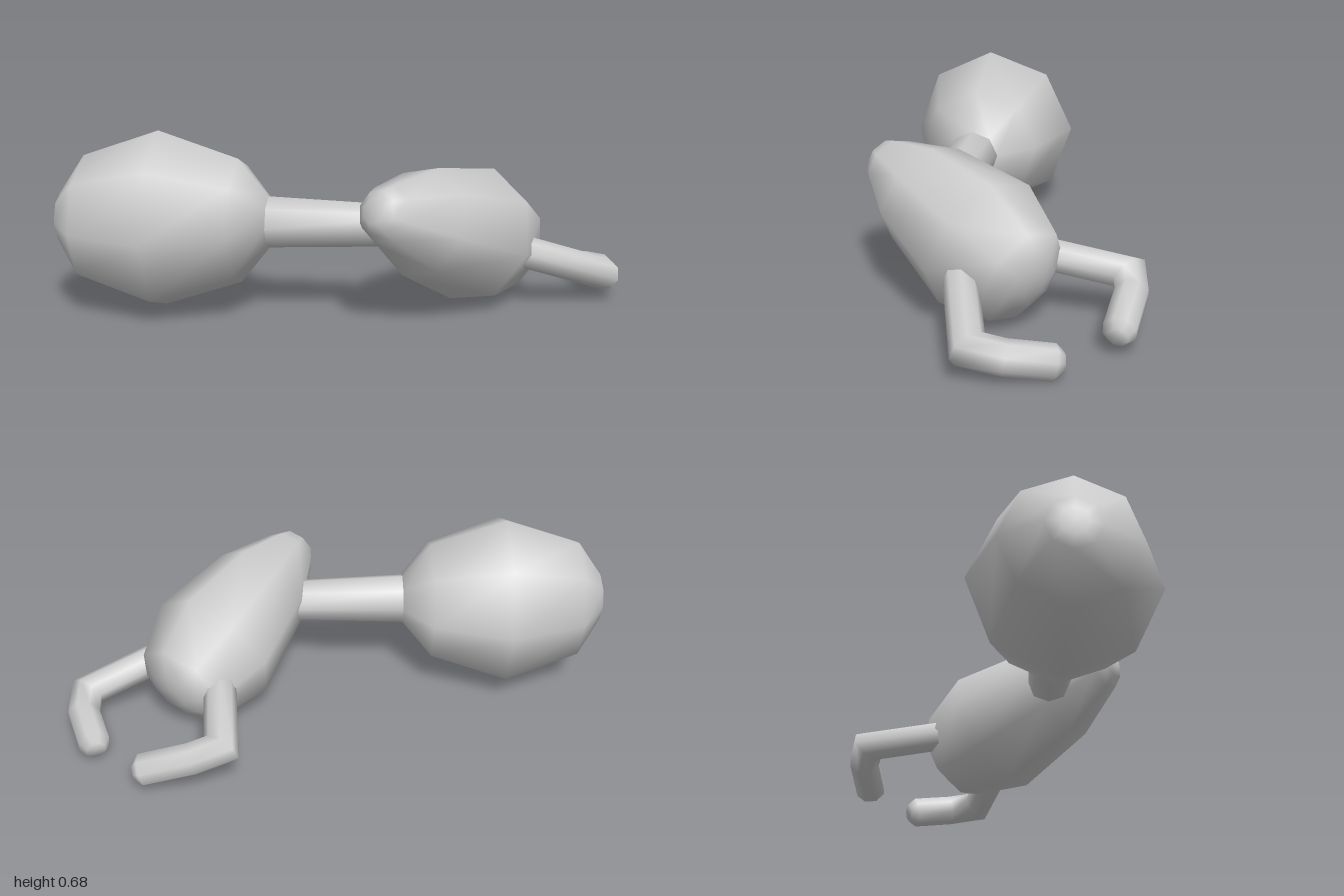
import * as THREE from 'three';

const material = new THREE.MeshStandardMaterial({ color: 0xcccccc });
const V = (x, y, z) => new THREE.Vector3(x, y, z);

// Closed eight-sided skin along a path, one radius per point, mitred at bends
function loft(name, path, radii, roll = 0, sides = 8) {
  const dirs = path.slice(1).map((p, i) => p.clone().sub(path[i]).normalize());
  const last = path.length - 1;
  const up = V(0, 1, 0).projectOnPlane(dirs[0]).normalize();
  let spokes = [];
  for (let j = 0; j < sides; j++) {
    const angle = THREE.MathUtils.degToRad(roll) + (j / sides) * Math.PI * 2;
    spokes.push(up.clone().applyAxisAngle(dirs[0], angle));
  }
  const pos = [];
  const index = [];
  path.forEach((p, i) => {
    const into = dirs[Math.max(i - 1, 0)];
    const out = dirs[Math.min(i, last - 1)];
    const mitre = into.clone().add(out).normalize();
    spokes = spokes.map((s) => {
      const m = s.clone().addScaledVector(into, -s.dot(mitre) / into.dot(mitre));
      pos.push(...m.clone().multiplyScalar(radii[i]).add(p).toArray());
      return m.projectOnPlane(out);
    });
  });
  for (let i = 0; i < last; i++) {
    for (let j = 0; j < sides; j++) {
      const k = (j + 1) % sides;
      const a = i * sides + j, b = i * sides + k;
      index.push(a, b, a + sides, b, b + sides, a + sides);
    }
  }
  // End caps
  const start = pos.length / 3;
  pos.push(...path[0].toArray(), ...path[last].toArray());
  for (let j = 0; j < sides; j++) {
    const k = (j + 1) % sides;
    index.push(start, k, j, start + 1, last * sides + j, last * sides + k);
  }
  const geo = new THREE.BufferGeometry();
  geo.setAttribute('position', new THREE.Float32BufferAttribute(pos, 3));
  geo.setIndex(index);
  geo.computeVertexNormals();
  const mesh = new THREE.Mesh(geo, material);
  mesh.name = name;
  return mesh;
}

// Straight loft from [distance, radius] pairs along an axis
function spindle(name, origin, axis, profile, roll) {
  const d = axis.clone().normalize();
  const path = profile.map(([s]) => origin.clone().addScaledVector(d, s));
  return loft(name, path, profile.map(([, r]) => r), roll);
}

// Bent pincer with a softly rounded tip
function pincer(name, points) {
  const path = points.map((p) => V(...p));
  const tip = path[path.length - 1];
  const dir = tip.clone().sub(path[path.length - 2]).normalize();
  path.push(tip.clone().addScaledVector(dir, 0.03));
  return loft(name, path, [...points.map(() => 0.062), 0.038]);
}

export function createModel() {
  const group = new THREE.Group();

  // Large rear bulb and the stalk joining it to the body
  const bulbCentre = V(-0.6, 0.355, 0.41);
  const stalkAxis = V(-0.96, 0, 0.28);
  group.add(spindle('bulb', bulbCentre, stalkAxis, [
    [-0.405, 0.1], [-0.295, 0.24], [0, 0.34], [0.29, 0.24], [0.39, 0.095], [0.402, 0.05],
  ], -3));
  group.add(spindle('stalk', bulbCentre, stalkAxis, [[-0.98, 0.076], [-0.39, 0.1]], -3));

  // Tapered body, narrow at the front
  group.add(spindle('body', V(0.27, 0.46, 0.4), V(0.25, -0.26, -0.74), [
    [-0.035, 0.045], [-0.015, 0.08], [0.03, 0.108], [0.24, 0.205],
    [0.58, 0.263], [0.79, 0.19], [0.835, 0.105], [0.85, 0.05],
  ], 8));

  // Pair of inward-bent pincers
  group.add(pincer('rightPincer', [
    [0.37, 0.255, -0.27], [0.255, 0.19, -0.6], [0.35, 0.16, -0.65], [0.53, 0.1, -0.685],
  ]));
  group.add(pincer('leftPincer', [
    [0.6, 0.24, -0.11], [0.91, 0.12, -0.32], [0.875, 0.1, -0.435], [0.778, 0.07, -0.565],
  ]));
  return group;
}
